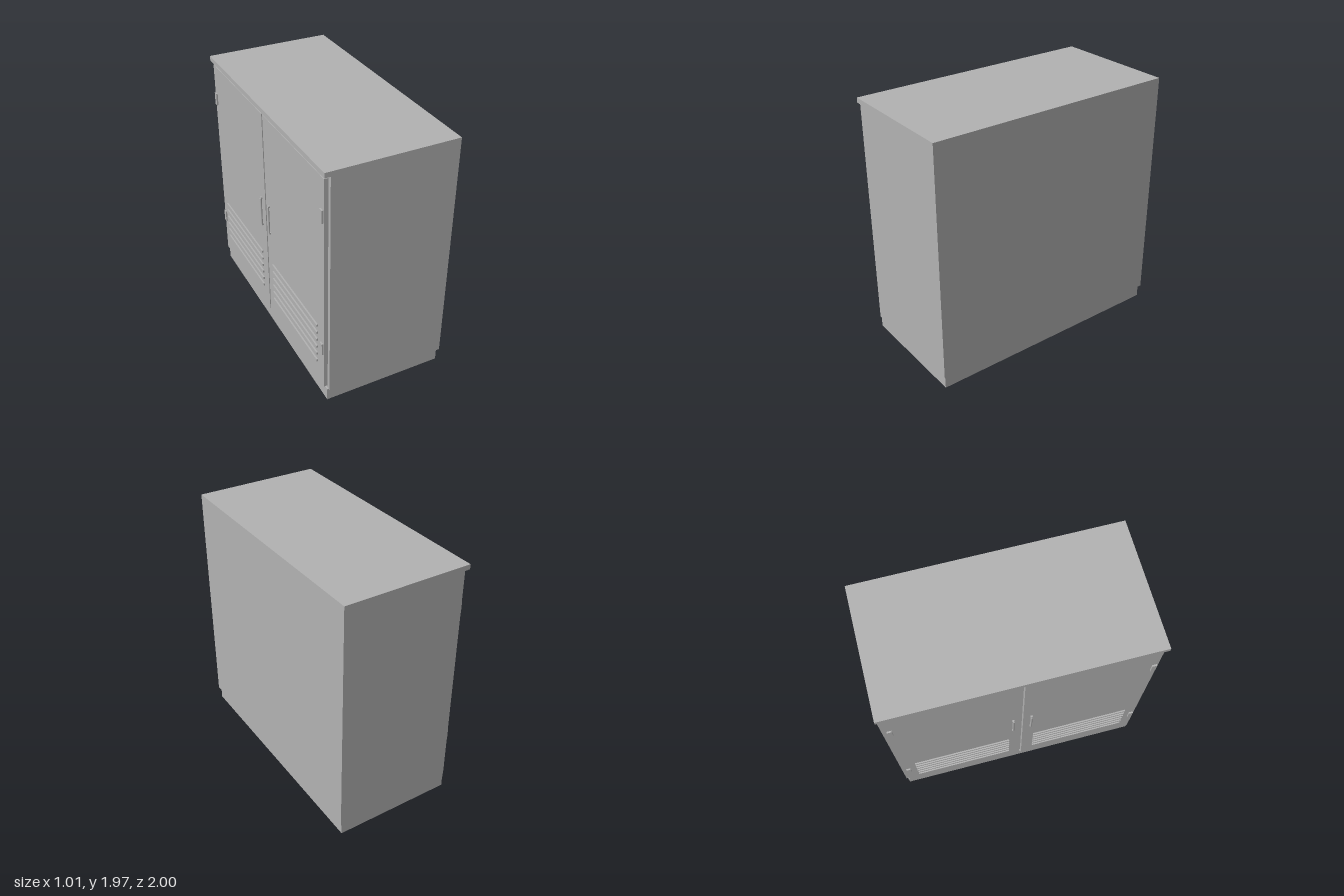
import * as THREE from 'three';

export function createModel() {
  const model = new THREE.Group();
  model.name = 'cabinet';
  const grey = new THREE.MeshStandardMaterial({ color: 0xb2b2b2 });
  grey.name = 'grey metal';

  const add = (parent, name, geometry) => {
    const mesh = new THREE.Mesh(geometry, grey);
    mesh.name = name;
    parent.add(mesh);
    return mesh;
  };
  // Box given by its min and max on each axis
  const box = (parent, name, [x0, x1], [y0, y1], [z0, z1]) => {
    const mesh = add(parent, name, new THREE.BoxGeometry(x1 - x0, y1 - y0, z1 - z0));
    mesh.position.set((x0 + x1) / 2, (y0 + y1) / 2, (z0 + z1) / 2);
    return mesh;
  };

  // Recessed base
  box(model, 'plinth', [-0.464, 0.485], [0, 0.104], [-0.985, 0.985]);

  // Body with the roof lip overhanging the doors, one profile along z
  const profile = new THREE.Shape([
    [-0.453, 0.104], [0.502, 0.104], [0.502, 1.97],
    [-0.497, 1.97], [-0.497, 1.932], [-0.453, 1.932],
  ].map(([x, y]) => new THREE.Vector2(x, y)));
  const body = add(model, 'bodyAndRoof',
    new THREE.ExtrudeGeometry(profile, { depth: 2, bevelEnabled: false }));
  body.position.z = -1;

  // Two mirrored doors on the -x side
  const face = -0.484;
  for (const side of [-1, 1]) {
    const span = (a, b) => (side > 0 ? [a, b] : [-b, -a]);
    const door = new THREE.Group();
    door.name = side > 0 ? 'frontDoor' : 'backDoor';
    model.add(door);
    box(door, 'doorPanel', [face, -0.453], [0.128, 1.908], span(0.008, 0.97));

    // Hinges
    for (const y of [0.488, 1.622])
      box(door, 'hinge', [-0.496, face], [y - 0.05, y + 0.05], span(0.925, 0.96));

    // Ventilation slats
    for (let i = 0; i < 6; i++) {
      const y = 0.312 + i * 0.067;
      box(door, 'ventSlat', [-0.496, face], [y - 0.01, y + 0.01], span(0.1, 0.875));
    }

    // Handle bar on two feet
    const bar = add(door, 'handleBar', new THREE.CylinderGeometry(0.008, 0.008, 0.23, 16));
    bar.position.set(-0.496, 1.055, side * 0.07);
    for (const y of [0.935, 1.175])
      box(door, 'handleFoot', [-0.498, face], [y - 0.007, y + 0.007], span(0.062, 0.078));
  }
  return model;
}
